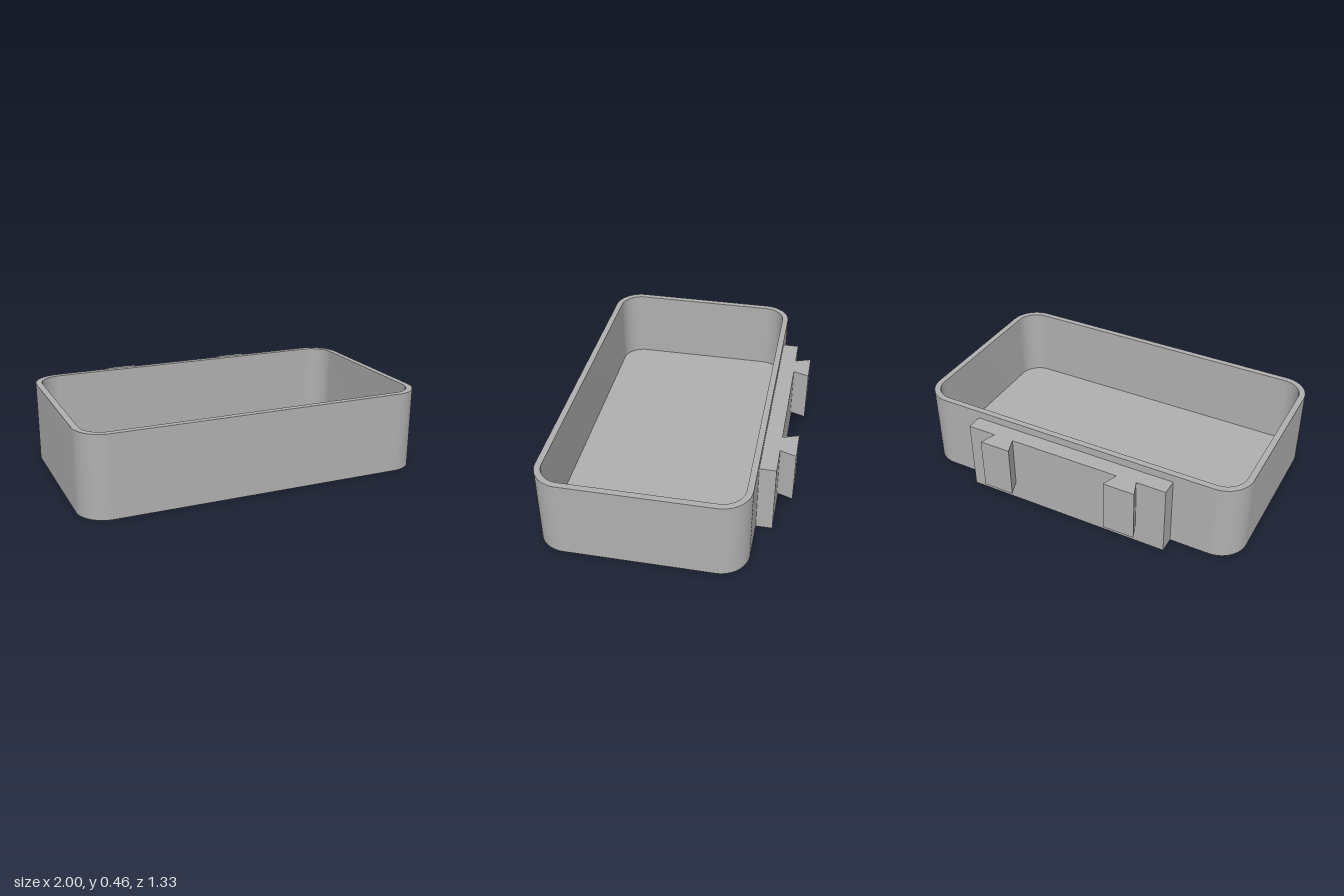
import * as THREE from 'three';
import { toCreasedNormals } from 'three/addons/utils/BufferGeometryUtils.js';

const FLOOR = 0.038, WALL = 0.035, HEIGHT = 0.463;
const BACK = -0.485, FRONT = 0.665, RADIUS = 0.16;

export function createModel() {
  const group = new THREE.Group();
  const grey = new THREE.MeshStandardMaterial({ color: 0xb0b0b0 });
  grey.name = 'plain grey';

  // Plan outlines use (x, -z); extruding upward gives prisms between two heights.
  const addPrism = (name, shape, y0, y1) => {
    const raw = new THREE.ExtrudeGeometry(shape, { depth: y1 - y0, bevelEnabled: false, curveSegments: 14 });
    raw.rotateX(-Math.PI / 2);
    raw.translate(0, y0, 0);
    const mesh = new THREE.Mesh(toCreasedNormals(raw, 0.5), grey);
    mesh.name = name;
    group.add(mesh);
  };

  const polygon = (points) => new THREE.Shape(points.map(([x, z]) => new THREE.Vector2(x, -z)));

  // Rounded rectangle of the tray, shrunk by an inset
  const trayOutline = (inset) => {
    const x = 1 - inset, lo = -FRONT + inset, hi = -BACK - inset, r = RADIUS - inset;
    const s = new THREE.Shape();
    s.moveTo(-x + r, lo);
    s.absarc(x - r, lo + r, r, -Math.PI / 2, 0);
    s.absarc(x - r, hi - r, r, 0, Math.PI / 2);
    s.absarc(-x + r, hi - r, r, Math.PI / 2, Math.PI);
    s.absarc(-x + r, lo + r, r, Math.PI, Math.PI * 1.5);
    s.closePath();
    return s;
  };

  // Open tray
  addPrism('trayFloor', trayOutline(0), 0, FLOOR);
  const ring = trayOutline(0);
  ring.holes.push(trayOutline(WALL));
  addPrism('trayWalls', ring, FLOOR, HEIGHT);

  // Mounting plate on the back wall
  const plateZ = -0.577;
  addPrism('mountingPlate', polygon([[-0.613, BACK], [0.613, BACK], [0.613, plateZ], [-0.613, plateZ]]), 0, 0.418);

  // Dovetail rails, flaring away from the plate
  for (const [side, name] of [[1, 'leftDovetail'], [-1, 'rightDovetail']]) {
    const c = side * 0.384;
    addPrism(name, polygon([[c - 0.059, plateZ], [c + 0.059, plateZ], [c + 0.091, -0.667], [c - 0.091, -0.667]]), 0.11, 0.418);
  }

  return group;
}
